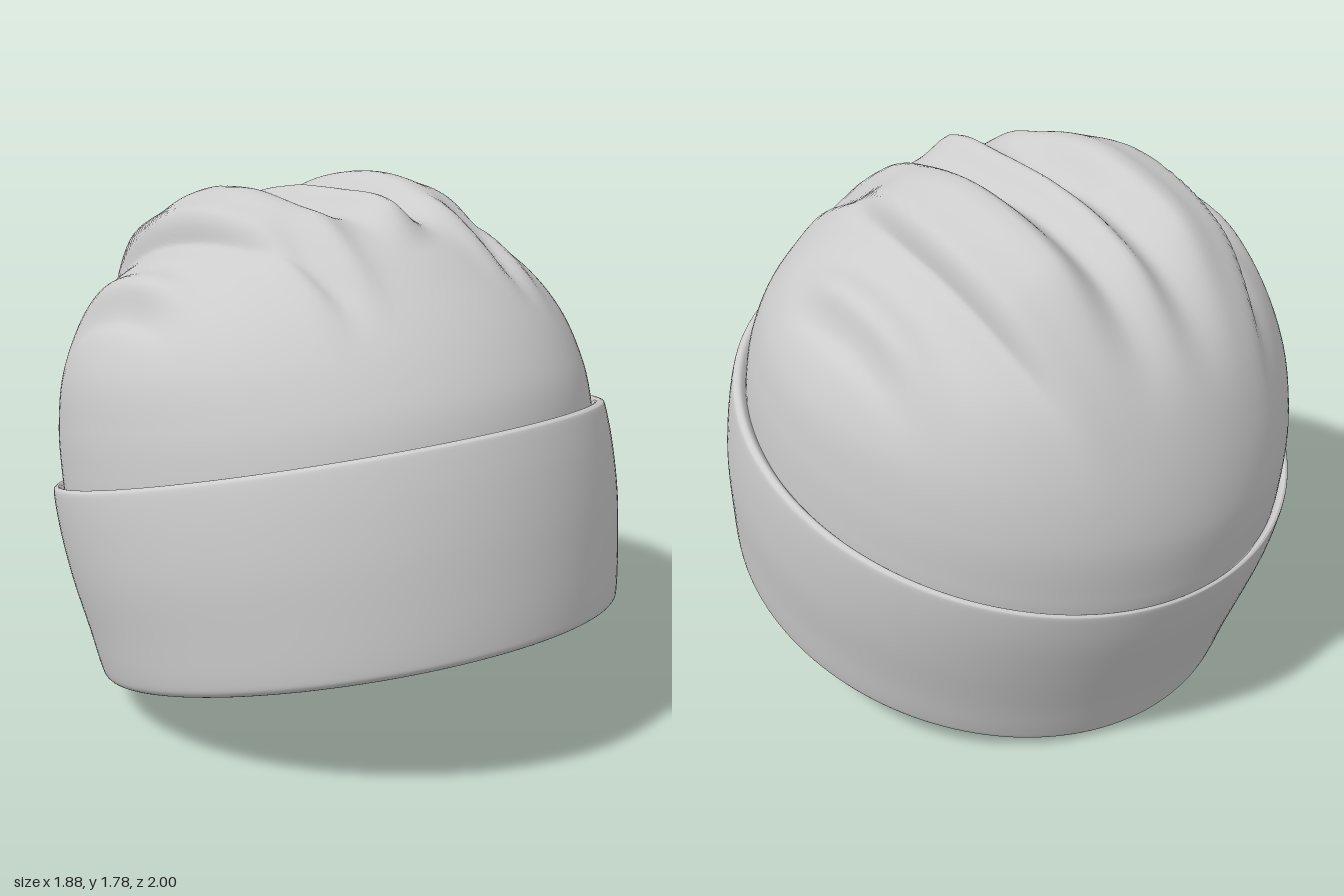
import * as THREE from 'three';

const AROUND = 160;

// Each ring: [frontZ, frontY, backZ, backY, halfWidth], a tilted ellipse.
const cuffRings = [
  [0.90, 0.50, -0.70, 0.06, 0.795], [0.92, 0.465, -0.70, 0.02, 0.81],
  [0.96, 0.468, -0.73, 0.002, 0.835], [0.995, 0.49, -0.765, 0.01, 0.865],
  [1.0, 0.53, -0.785, 0.05, 0.88], [0.99, 0.66, -0.83, 0.17, 0.90],
  [0.965, 0.84, -0.90, 0.34, 0.928], [0.93, 1.0, -0.96, 0.49, 0.938],
  [0.893, 1.118, -0.997, 0.612, 0.936], [0.878, 1.14, -0.997, 0.635, 0.925],
  [0.855, 1.135, -0.985, 0.632, 0.905], [0.828, 1.08, -0.95, 0.59, 0.872],
];
const crownRings = [
  [0.845, 1.06, -0.965, 0.58, 0.89], [0.845, 1.13, -0.985, 0.68, 0.893],
  [0.80, 1.25, -1.0, 0.87, 0.885], [0.70, 1.39, -0.965, 1.08, 0.852],
  [0.57, 1.515, -0.89, 1.28, 0.76], [0.41, 1.63, -0.78, 1.43, 0.60],
  [0.23, 1.70, -0.62, 1.56, 0.42], [0.02, 1.70, -0.42, 1.645, 0.20],
  [-0.198, 1.69, -0.202, 1.69, 0.002],
];
const liningRings = [
  [-0.198, 1.655, -0.202, 1.655, 0.002], [0.02, 1.665, -0.41, 1.61, 0.20],
  [0.22, 1.665, -0.60, 1.53, 0.41], [0.39, 1.60, -0.755, 1.405, 0.58],
  [0.545, 1.49, -0.86, 1.26, 0.735], [0.67, 1.37, -0.93, 1.07, 0.82],
  [0.765, 1.24, -0.965, 0.87, 0.85], [0.81, 1.10, -0.95, 0.66, 0.858],
  [0.865, 0.82, -0.83, 0.36, 0.845], [0.90, 0.50, -0.70, 0.06, 0.795],
];

// Smooth surface through a list of rings, with an optional vertex rule
function loft(rings, steps, rule) {
  const front = new THREE.CatmullRomCurve3(rings.map(r => new THREE.Vector3(r[4], r[1], r[0])), false, 'catmullrom', 0.5);
  const back = new THREE.CatmullRomCurve3(rings.map(r => new THREE.Vector3(r[4], r[3], r[2])), false, 'catmullrom', 0.5);
  const pos = [], index = [];
  for (let i = 0; i <= steps; i++) {
    const f = front.getPoint(i / steps), b = back.getPoint(i / steps);
    for (let j = 0; j < AROUND; j++) {
      const a = j / AROUND * Math.PI * 2, k = (1 + Math.cos(a)) / 2;
      const p = new THREE.Vector3(f.x * Math.sin(a), b.y + (f.y - b.y) * k, b.z + (f.z - b.z) * k);
      if (rule) rule(p);
      pos.push(p.x, p.y, p.z);
      if (i < steps) {
        const n = (j + 1) % AROUND, r0 = i * AROUND, r1 = r0 + AROUND;
        index.push(r0 + j, r0 + n, r1 + j, r0 + n, r1 + n, r1 + j);
      }
    }
  }
  const g = new THREE.BufferGeometry();
  g.setAttribute('position', new THREE.Float32BufferAttribute(pos, 3));
  g.setIndex(index);
  g.computeVertexNormals();
  return g;
}

const bump = (v, centre, width) => Math.exp(-(((v - centre) / width) ** 2));
const ramp = THREE.MathUtils.smoothstep;
const span = (z, a, b, c, d) => ramp(z, a, b) * (1 - ramp(z, c, d));

// Gathered cloth: long folds running front to back over the crown
function folds(p) {
  if (p.y < 1.0) return;
  const a = Math.abs(p.x), s = Math.sign(p.x), z = p.z;
  const edge = 0.445 - 0.2 * (z + 0.25) ** 2;
  const main = span(z, -0.95, -0.55, -0.2, 0.5);
  const side = span(z, -0.6, -0.3, -0.1, 0.2);
  const mid = span(z, -0.95, -0.6, 0.27, 0.43);

  let dy = 0, dx = 0;
  // large rolled fold, sloping outward to a thin overhanging lip
  dy += main * 0.115 * ramp(a, 0.1, 0.26) * (1 - 0.35 * ramp(a, 0.28, edge)) * (1 - ramp(a, edge - 0.045, edge + 0.015));
  dx += main * 0.05 * bump(a, edge - 0.03, 0.045);
  dy -= main * 0.008 * bump(a, edge + 0.05, 0.04);
  // centre ridge and the hollows beside it
  dy += mid * 0.065 * bump(a, 0, 0.06);
  dy -= span(z, -0.35, -0.15, 0.0, 0.25) * 0.035 * bump(p.x, -0.17, 0.08);
  dy -= span(z, -0.3, 0.0, 0.15, 0.4) * 0.02 * bump(p.x, 0.13, 0.05);
  // small outer fold
  dy += side * 0.03 * bump(a, 0.66, 0.05);
  dx += side * 0.022 * bump(a, 0.67, 0.04);
  dy -= side * 0.03 * bump(a, 0.74, 0.035);
  // shallow puckers spreading towards the front
  const pucker = span(z, 0.1, 0.3, 0.4, 0.62);
  dy += pucker * 0.022 * (bump(a, 0.22 + 0.1 * z, 0.05) + bump(a, 0.42, 0.04) - bump(a, 0.34, 0.04));

  p.x += s * dx;
  p.y += dy;
}

export function createModel() {
  const group = new THREE.Group();
  const wool = new THREE.MeshStandardMaterial({ color: 0xcccccc });
  wool.name = 'light grey wool';
  const add = (name, geometry) => {
    const mesh = new THREE.Mesh(geometry, wool);
    mesh.name = name;
    group.add(mesh);
  };
  add('cuff', loft(cuffRings, 66));
  add('crown', loft(crownRings, 120, folds));
  add('lining', loft(liningRings, 90, folds));
  return group;
}
